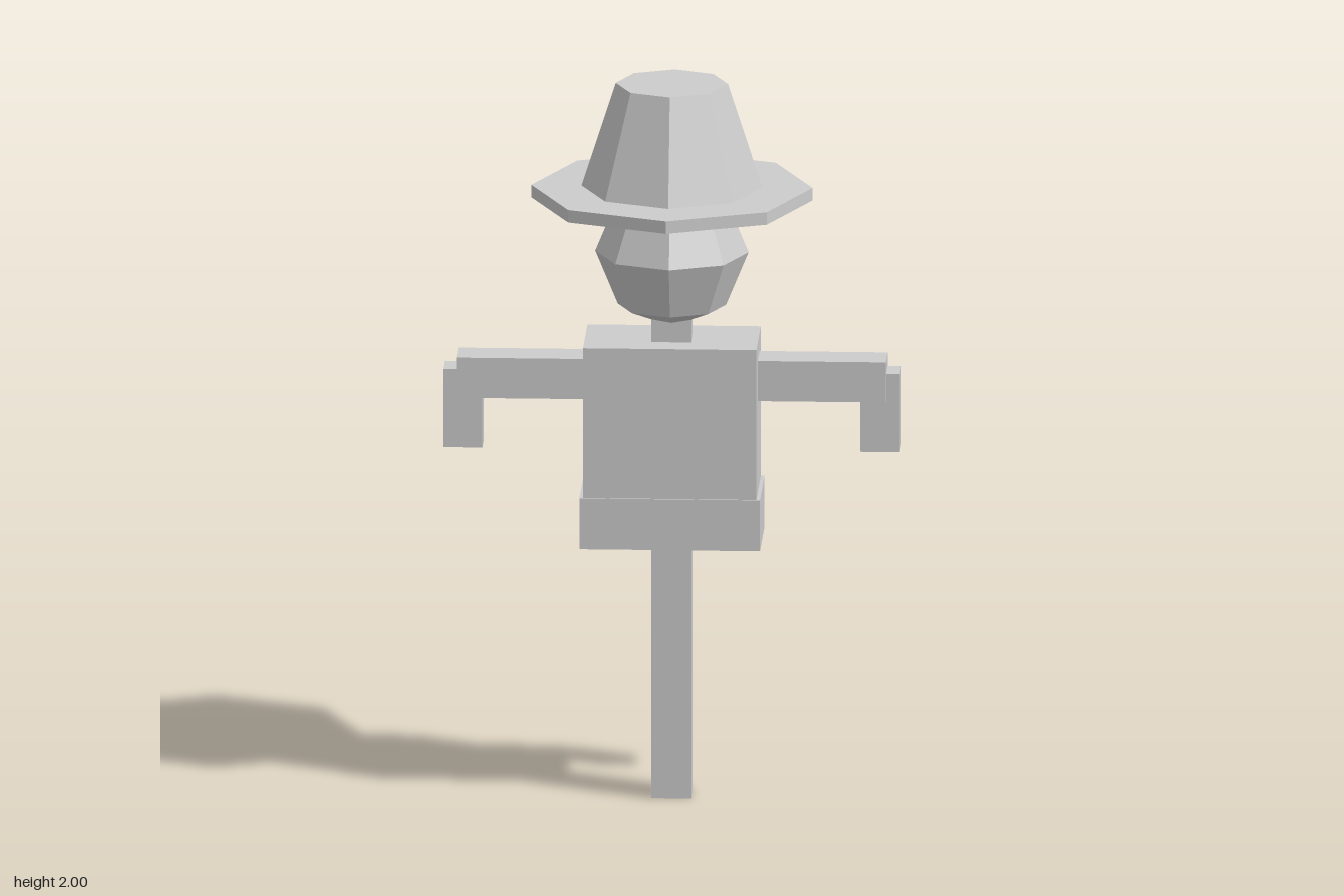
import * as THREE from 'three';

export function createModel() {
  const model = new THREE.Group();
  model.name = 'scarecrow';
  const grey = new THREE.MeshStandardMaterial({ color: 0xcccccc, flatShading: true });
  grey.name = 'plain grey';

  const add = (name, geometry, x, y, z = 0) => {
    const mesh = new THREE.Mesh(geometry, grey);
    mesh.name = name;
    mesh.position.set(x, y, z);
    model.add(mesh);
    return mesh;
  };
  // Box given by its x range, y range and depth, centred on z = 0
  const block = (name, x0, x1, y0, y1, depth) =>
    add(name, new THREE.BoxGeometry(x1 - x0, y1 - y0, depth), (x0 + x1) / 2, (y0 + y1) / 2);
  // Eight-sided drum between two heights
  const drum = (name, topRadius, bottomRadius, y0, y1) =>
    add(name, new THREE.CylinderGeometry(topRadius, bottomRadius, y1 - y0, 8), 0, (y0 + y1) / 2);

  // Post and body
  block('post', -0.055, 0.055, 0, 0.74, 0.11);
  block('shirt', -0.237, 0.237, 0.8, 1.285, 0.262);
  block('shirtHem', -0.247, 0.247, 0.72, 0.863, 0.272);
  block('neck', -0.055, 0.055, 1.27, 1.38, 0.11);

  // Outstretched arms with hanging hands
  for (const [side, s] of [['left', 1], ['right', -1]]) {
    const arm = block(side + 'Arm', 0.22, 0.586, 1.122, 1.235, 0.11);
    const hand = block(side + 'Hand', 0.515, 0.623, 0.98, 1.2, 0.09);
    arm.position.x *= s;
    hand.position.x *= s;
  }

  // Head and hat
  add('head', new THREE.SphereGeometry(0.21, 8, 4), 0, 1.527);
  drum('hatBrim', 0.384, 0.384, 1.675, 1.71);
  drum('hatCrown', 0.154, 0.249, 1.705, 2);

  return model;
}
